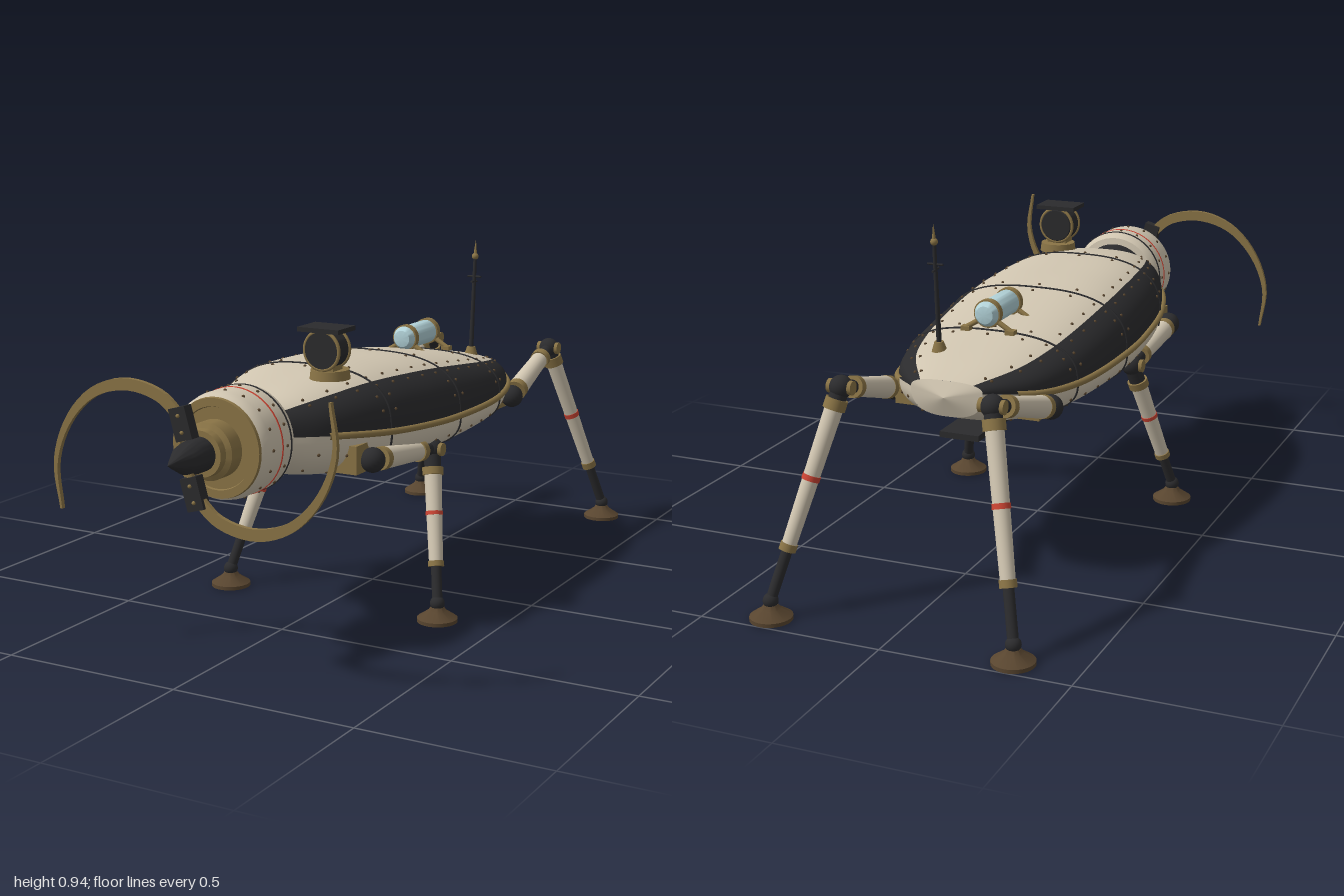
import * as THREE from 'three';
import { toCreasedNormals } from 'three/addons/utils/BufferGeometryUtils.js';

const V = (x, y, z) => new THREE.Vector3(x, y, z);
const paint = (name, color) => {
  const m = new THREE.MeshStandardMaterial({ color });
  m.name = name;
  return m;
};

export function createModel() {
  const model = new THREE.Group();
  model.name = 'walkingAirship';
  const cream = paint('cream', 0xd0c5b0), black = paint('black', 0x2b2b2d), bronze = paint('bronze', 0x8a7446),
    darkBronze = paint('dark bronze', 0x58452f), red = paint('red', 0xcc4433), glass = paint('pale glass', 0xb2d2d8);

  // ---- helpers ----
  const add = (name, geo, mat, parent = model, pos) => {
    const mesh = new THREE.Mesh(geo, mat);
    mesh.name = name;
    if (pos) mesh.position.copy(pos);
    parent.add(mesh);
    return mesh;
  };
  const group = (name, parent = model) => {
    const g = new THREE.Group();
    g.name = name;
    parent.add(g);
    return g;
  };
  const box = (name, w, h, d, pos, mat, parent) => add(name, new THREE.BoxGeometry(w, h, d), mat, parent, pos);
  const ball = (name, r, pos, mat, parent) => add(name, new THREE.SphereGeometry(r, 20, 14), mat, parent, pos);
  const rod = (name, a, b, r1, r2, mat, parent) => {
    const d = b.clone().sub(a);
    const mesh = add(name, new THREE.CylinderGeometry(r2, r1, d.length(), 24), mat, parent, a.clone().lerp(b, 0.5));
    mesh.quaternion.setFromUnitVectors(V(0, 1, 0), d.normalize());
    return mesh;
  };
  // profile of [radius, z] turned around the z axis
  const turned = (name, pts, mat, parent, pos) => {
    const geo = new THREE.LatheGeometry(pts.map(p => new THREE.Vector2(...p)), 48).rotateX(Math.PI / 2);
    return add(name, toCreasedNormals(geo, 0.6), mat, parent, pos);
  };
  // smooth grid surface from fn(u, v)
  const surface = (fn, nu, nv) => {
    const pos = [], idx = [];
    for (let i = 0; i <= nu; i++) for (let j = 0; j <= nv; j++) pos.push(...fn(i / nu, j / nv).toArray());
    for (let i = 0; i < nu; i++) for (let j = 0; j < nv; j++) {
      const a = i * (nv + 1) + j, b = a + nv + 1;
      idx.push(a, a + 1, b, a + 1, b + 1, b);
    }
    const geo = new THREE.BufferGeometry();
    geo.setAttribute('position', new THREE.Float32BufferAttribute(pos, 3));
    geo.setIndex(idx);
    geo.computeVertexNormals();
    return geo;
  };

  // ---- hull stations: z, half width, top, middle, bottom ----
  const stations = [
    [-0.6, 0.1, 0.565, 0.54, 0.47], [-0.48, 0.195, 0.595, 0.52, 0.43], [-0.35, 0.24, 0.62, 0.51, 0.412],
    [-0.2, 0.262, 0.645, 0.508, 0.405], [0, 0.272, 0.672, 0.513, 0.402], [0.15, 0.268, 0.685, 0.52, 0.404],
    [0.35, 0.245, 0.69, 0.535, 0.413], [0.53, 0.185, 0.667, 0.553, 0.435], [0.64, 0.095, 0.633, 0.56, 0.485]];
  const curveA = new THREE.CatmullRomCurve3(stations.map(s => V(s[1], s[2], s[0])), false, 'catmullrom');
  const curveB = new THREE.CatmullRomCurve3(stations.map(s => V(s[3], s[4], s[0])), false, 'catmullrom');
  const hull = (u, deg, grow = 0) => {
    const a = curveA.getPoint(u), b = curveB.getPoint(u), t = deg * Math.PI / 180;
    const pw = v => Math.sign(v) * Math.abs(v) ** 0.75;
    const s = pw(Math.sin(t)), h = s > 0 ? a.y - b.x : b.x - b.y;
    return V((a.x + grow) * pw(Math.cos(t)), b.x + (h + grow) * s, a.z);
  };
  const atZ = z => {
    let lo = 0, hi = 1;
    for (let i = 0; i < 24; i++) {
      const m = (lo + hi) / 2;
      if (curveA.getPoint(m).z < z) lo = m; else hi = m;
    }
    return lo;
  };

  const body = group('hull');
  const bands = [['topPanel', 48, 132, cream], ['leftBand', 0, 48, black], ['rightBand', 132, 180, black], ['belly', 180, 360, cream]];
  for (const [name, d0, d1, mat] of bands)
    add(name, surface((u, v) => hull(u, d0 + (d1 - d0) * v), 48, Math.round((d1 - d0) / 4)), mat, body);
  add('tailCap', surface((u, v) => V(0, 0.525, -0.62).lerp(hull(0, v * 360), u), 1, 72), cream, body);
  turned('neck', [[0.09, 0.59], [0.105, 0.6], [0.105, 0.65]], black, body, V(0, 0.555, 0));

  // panel seams, side trim and rivets
  for (const z of [-0.32, -0.01, 0.345]) {
    const u = atZ(z), pts = Array.from({ length: 72 }, (_, i) => hull(u, i * 5));
    add('panelSeam', new THREE.TubeGeometry(new THREE.CatmullRomCurve3(pts, true), 144, 0.0035, 6, true), black, body);
  }
  for (const deg of [0, 180]) {
    const pts = Array.from({ length: 24 }, (_, i) => hull(atZ(-0.53 + i * 1.08 / 23), deg, 0.003));
    add('sideTrim', new THREE.TubeGeometry(new THREE.CatmullRomCurve3(pts), 60, 0.009, 10), bronze, body);
  }
  const rivetGeo = new THREE.SphereGeometry(0.0045, 8, 6);
  const rivet = (u, deg) => add('rivet', rivetGeo, darkBronze, body, hull(u, deg));
  for (let z = -0.56; z < 0.6; z += 0.075)
    for (const deg of [42, 54, 126, 138, 200, 235, 305, 340]) rivet(atZ(z), deg);
  for (const z of [-0.345, -0.295, -0.035, 0.015, 0.32, 0.37])
    for (const deg of [15, 30, 72, 90, 108, 150, 165, 220, 255, 285, 320]) rivet(atZ(z), deg);
  box('keelPlate', 0.11, 0.016, 0.6, V(0, 0.394, -0.23), black, body);

  // ---- nose ----
  const nose = group('nose');
  nose.position.y = 0.555;
  turned('noseRing', [[0.1, 0.632], [0.124, 0.636], [0.135, 0.65], [0.137, 0.67], [0.137, 0.76], [0.133, 0.782], [0.124, 0.792]], cream, nose);
  turned('nosePlate', [[0.128, 0.785], [0.126, 0.797], [0.105, 0.797], [0.103, 0.791], [0.073, 0.791], [0.073, 0.835],
    [0.06, 0.842], [0.058, 0.862], [0, 0.862]], bronze, nose);
  turned('noseSeam', [[0.136, 0.662], [0.1385, 0.663], [0.1385, 0.667], [0.136, 0.668]], black, nose);
  turned('noseStripe', [[0.136, 0.703], [0.1385, 0.704], [0.1385, 0.708], [0.136, 0.709]], red, nose);
  for (let i = 0; i < 16; i++) {
    const a = i * Math.PI / 8;
    for (const z of [0.685, 0.75]) add('rivet', rivetGeo, darkBronze, nose, V(0.137 * Math.cos(a), 0.137 * Math.sin(a), z));
  }
  turned('spinner', [[0.043, 0.86], [0.043, 0.9], [0.036, 0.935], [0.012, 0.98], [0, 1]], black, nose);

  // scythe blades
  const spine = new THREE.CatmullRomCurve3([[-0.03, 0.09], [-0.09, 0.14], [-0.19, 0.16], [-0.29, 0.13], [-0.37, 0.05],
    [-0.412, -0.06], [-0.4, -0.18]].map(p => V(p[0], p[1], 0)));
  const outer = [], inner = [];
  for (let i = 0; i <= 28; i++) {
    const u = i / 28, p = spine.getPoint(u), t = spine.getTangent(u);
    const w = 0.003 + 0.012 * Math.min(1, (1 - u) * 1.6);
    outer.push(new THREE.Vector2(p.x - t.y * w, p.y + t.x * w));
    inner.unshift(new THREE.Vector2(p.x + t.y * w, p.y - t.x * w));
  }
  const bladeGeo = new THREE.ExtrudeGeometry(new THREE.Shape([...outer, ...inner]), { depth: 0.012, bevelEnabled: false });
  for (const [turn, z] of [[0, 0.889], [Math.PI, 0.919]]) {
    const blade = group('propellerBlade', nose);
    blade.rotation.z = turn;
    blade.position.z = z;
    add('scythe', bladeGeo, bronze, blade);
    box('bladeClamp', 0.048, 0.082, 0.03, V(-0.025, 0.08, 0.006), black, blade).rotation.z = 0.27;
    rod('bladeArm', V(0, 0, 0.006), V(-0.02, 0.06, 0.006), 0.01, 0.01, bronze, blade);
    for (const y of [0.06, 0.1]) ball('clampBolt', 0.005, V(-0.02 - (y - 0.06) * 0.27, y, 0.021), bronze, blade);
  }

  // ---- legs ----
  const leg = (name, s, hip, knee, ankle, topT) => {
    const g = group(name);
    [hip, knee, ankle] = [hip, knee, ankle].map(p => V(s * p[0], p[1], p[2]));
    const up = t => hip.clone().lerp(knee, t), low = t => knee.clone().lerp(ankle, t);
    const root = V(s * (Math.abs(hip.x) - 0.05), hip.y + 0.005, hip.z + 0.01);
    box('hipBracket', 0.06, 0.075, 0.08, root, bronze, g);
    ball('hipJoint', 0.033, hip, black, g);
    rod('hipCollar', up(0.1), up(0.17), 0.031, 0.031, bronze, g);
    rod('thigh', up(0.15), up(0.75), 0.03, 0.025, cream, g);
    rod('thighCollar', up(0.73), up(0.8), 0.029, 0.029, bronze, g);
    rod('thighRod', up(0.78), knee, 0.018, 0.018, black, g);
    ball('knee', 0.03, knee, black, g);
    rod('kneePin', V(knee.x - 0.034, knee.y, knee.z), V(knee.x + 0.034, knee.y, knee.z), 0.018, 0.018, bronze, g);
    rod('kneeRod', knee, low(topT), 0.023, 0.023, black, g);
    rod('shinTopCollar', low(topT - 0.025), low(topT + 0.025), 0.029, 0.029, bronze, g);
    rod('shin', low(topT), low(0.75), 0.024, 0.019, cream, g);
    rod('shinBand', low(0.41), low(0.435), 0.0235, 0.0235, red, g);
    rod('shinLowCollar', low(0.73), low(0.765), 0.022, 0.022, bronze, g);
    rod('ankleRod', low(0.76), ankle, 0.014, 0.014, black, g);
    ball('ankle', 0.02, ankle, black, g);
    const foot = [[0, 0], [0.055, 0], [0.055, 0.01], [0.025, 0.03], [0.018, 0.04], [0, 0.04]].map(p => new THREE.Vector2(...p));
    add('foot', toCreasedNormals(new THREE.LatheGeometry(foot, 32), 0.5), darkBronze, g, V(ankle.x, 0, ankle.z));
  };
  for (const s of [1, -1]) {
    const side = s > 0 ? 'left' : 'right';
    leg(side + 'FrontLeg', s, [0.242, 0.478, 0.44], [0.245, 0.44, 0.11], [0.33, 0.05, 0.24], 0.15);
    leg(side + 'RearLeg', s, [0.225, 0.48, -0.455], [0.205, 0.575, -0.775], [0.33, 0.05, -0.945], 0.08);
  }

  // ---- lamp ----
  const lamp = group('lamp');
  lamp.position.set(0.11, 0.755, 0.44);
  add('lampBase', new THREE.CylinderGeometry(0.05, 0.053, 0.025, 32), bronze, lamp, V(0, -0.066, -0.012));
  box('lampStand', 0.06, 0.03, 0.05, V(0, -0.045, 0), bronze, lamp);
  turned('lampHousing', [[0, -0.032], [0.045, -0.032], [0.05, -0.025], [0.05, 0.034], [0, 0.034]], black, lamp);
  for (const z of [-0.025, 0.03]) add('lampRim', new THREE.TorusGeometry(0.05, 0.005, 10, 40), bronze, lamp, V(0, 0, z));
  box('lampRoof', 0.12, 0.012, 0.09, V(0, 0.054, 0.005), black, lamp);

  // ---- glass tank ----
  const tank = group('tank');
  tank.position.set(0, 0.677, -0.27);
  turned('tankGlass', [[0, -0.1], [0.024, -0.095], [0.034, -0.08], [0.034, 0.08], [0.024, 0.095], [0, 0.1]], glass, tank);
  for (const z of [-0.068, 0.068]) {
    turned('tankBand', [[0.033, z - 0.01], [0.038, z - 0.009], [0.038, z + 0.009], [0.033, z + 0.01]], bronze, tank);
    for (const s of [1, -1]) {
      rod('tankStrut', V(s * 0.025, -0.02, z), V(s * 0.066, -0.045, z), 0.007, 0.007, bronze, tank);
      box('tankFoot', 0.025, 0.012, 0.024, V(s * 0.064, -0.046, z), bronze, tank);
    }
  }

  // ---- antenna ----
  const mast = group('antenna');
  mast.position.set(0.09, 0.59, -0.45);
  mast.rotation.x = -0.075;
  rod('antennaBase', V(0, 0, 0), V(0, 0.03, 0), 0.022, 0.012, bronze, mast);
  rod('antennaRod', V(0, 0.02, 0), V(0, 0.3, 0), 0.007, 0.005, black, mast);
  rod('antennaBarX', V(-0.022, 0.24, 0), V(0.022, 0.24, 0), 0.003, 0.003, black, mast);
  rod('antennaBarZ', V(0, 0.225, -0.018), V(0, 0.225, 0.018), 0.003, 0.003, black, mast);
  ball('antennaBead', 0.01, V(0, 0.3, 0), bronze, mast);
  rod('antennaTip', V(0, 0.3, 0), V(0, 0.347, 0), 0.006, 0.0005, bronze, mast);
  return model;
}
